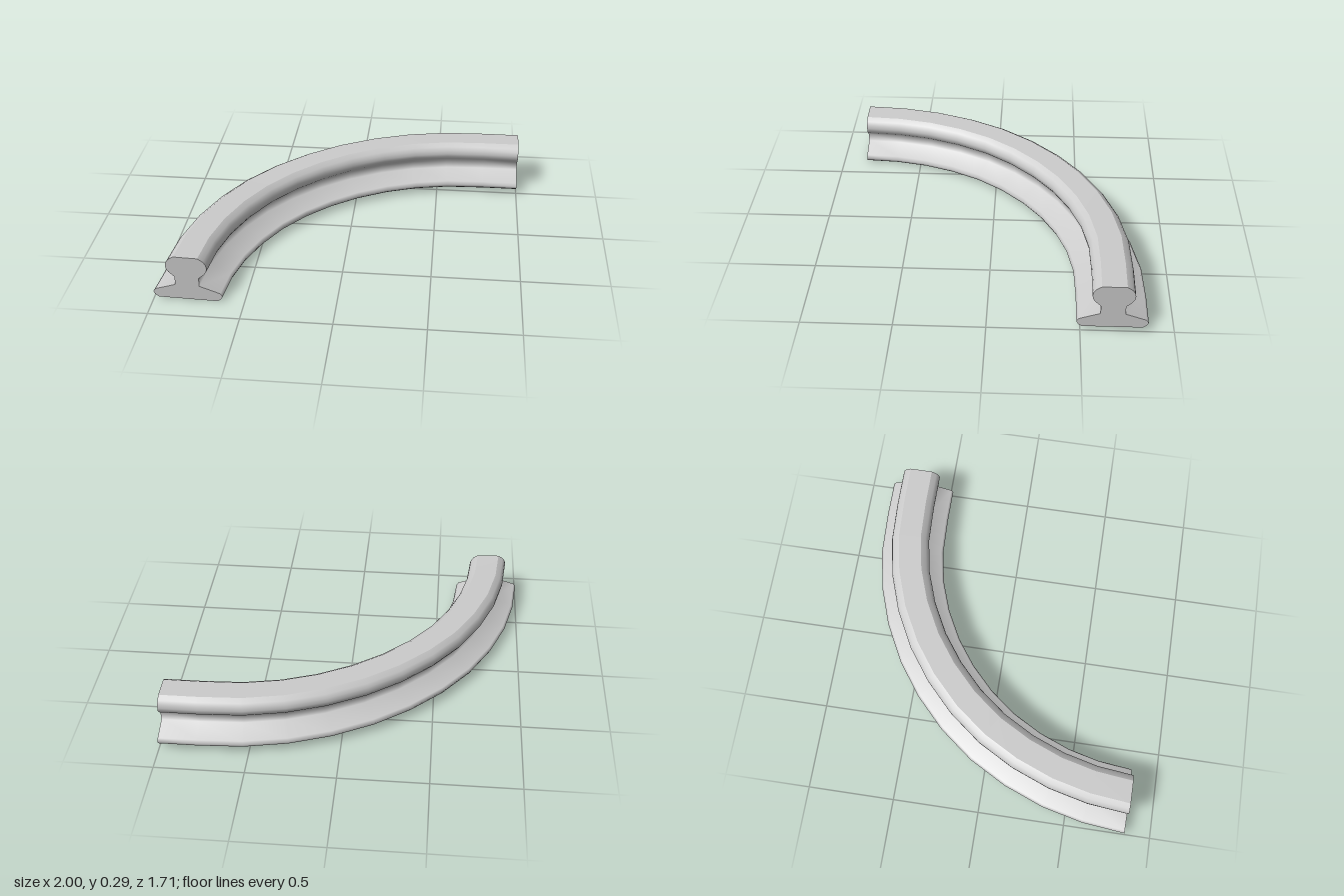
import * as THREE from 'three';

// Centre line of the rail: x, z, heading of the outward side in degrees
const PATH = [
  [-0.81, 0.85, 0], [-0.788, 0.627, 7.6], [-0.738, 0.415, 16.5], [-0.658, 0.21, 25],
  [-0.55, 0.015, 33.3], [-0.413, -0.16, 42], [-0.253, -0.313, 50.3], [-0.078, -0.44, 58.7],
  [0.123, -0.545, 67.3], [0.33, -0.618, 76], [0.548, -0.66, 84.5], [0.785, -0.67, 89],
  [1, -0.67, 90],
];

// Half profile from the foot up to the head: offset from centre, height
const HALF = [
  [0.163, 0], [0.182, 0.014], [0.191, 0.032], [0.179, 0.05], [0.066, 0.088], [0.066, 0.138],
  [0.098, 0.167], [0.111, 0.188], [0.113, 0.207], [0.108, 0.228], [0.094, 0.247], [0.066, 0.265],
];
const mirrored = HALF.map(([u, v]) => [-u, v]).reverse();

// Place a profile point at a station, with a gentle climb and fading bank
function place([u, v], [x, z, deg], i) {
  const a = THREE.MathUtils.degToRad(deg);
  const t = (0.85 - z) / 1.52;
  const bank = 0.03 * (1 - i / (PATH.length - 1));
  return [x - Math.cos(a) * u, 0.006 + 0.023 * t + v + bank * u, z - Math.sin(a) * u];
}

function makeMesh(name, positions, index, material) {
  const geometry = new THREE.BufferGeometry();
  geometry.setAttribute('position', new THREE.Float32BufferAttribute(positions, 3));
  geometry.setIndex(index);
  geometry.computeVertexNormals();
  const mesh = new THREE.Mesh(geometry, material);
  mesh.name = name;
  return mesh;
}

// Sweep one open run of the profile along the path
function sweep(name, run, material) {
  const n = run.length;
  const positions = PATH.flatMap((s, i) => run.flatMap((p) => place(p, s, i)));
  const index = [];
  for (let i = 0; i < PATH.length - 1; i++) {
    for (let j = 0; j < n - 1; j++) {
      const a = i * n + j, b = a + 1, c = b + n, d = a + n;
      index.push(a, b, c, a, c, d);
    }
  }
  return makeMesh(name, positions, index, material);
}

// Flat end face
function cap(name, station, flip, material) {
  const outline = [...HALF, ...mirrored];
  const points = outline.map(([u, v]) => new THREE.Vector2(u, v));
  const faces = THREE.ShapeUtils.triangulateShape(points, []);
  const index = faces.flatMap(([a, b, c]) => (flip ? [a, c, b] : [a, b, c]));
  const positions = outline.flatMap((p) => place(p, PATH[station], station));
  return makeMesh(name, positions, index, material);
}

export function createModel() {
  const material = new THREE.MeshStandardMaterial({ color: 0xcccccc });
  const rail = new THREE.Group();
  rail.name = 'curvedRail';
  const last = HALF.length - 1;
  rail.add(
    sweep('outerSide', HALF, material),
    sweep('runningSurface', [HALF[last], mirrored[0]], material),
    sweep('innerSide', mirrored, material),
    sweep('footUnderside', [mirrored[last], HALF[0]], material),
    cap('frontEnd', 0, true, material),
    cap('backEnd', PATH.length - 1, false, material),
  );
  return rail;
}
